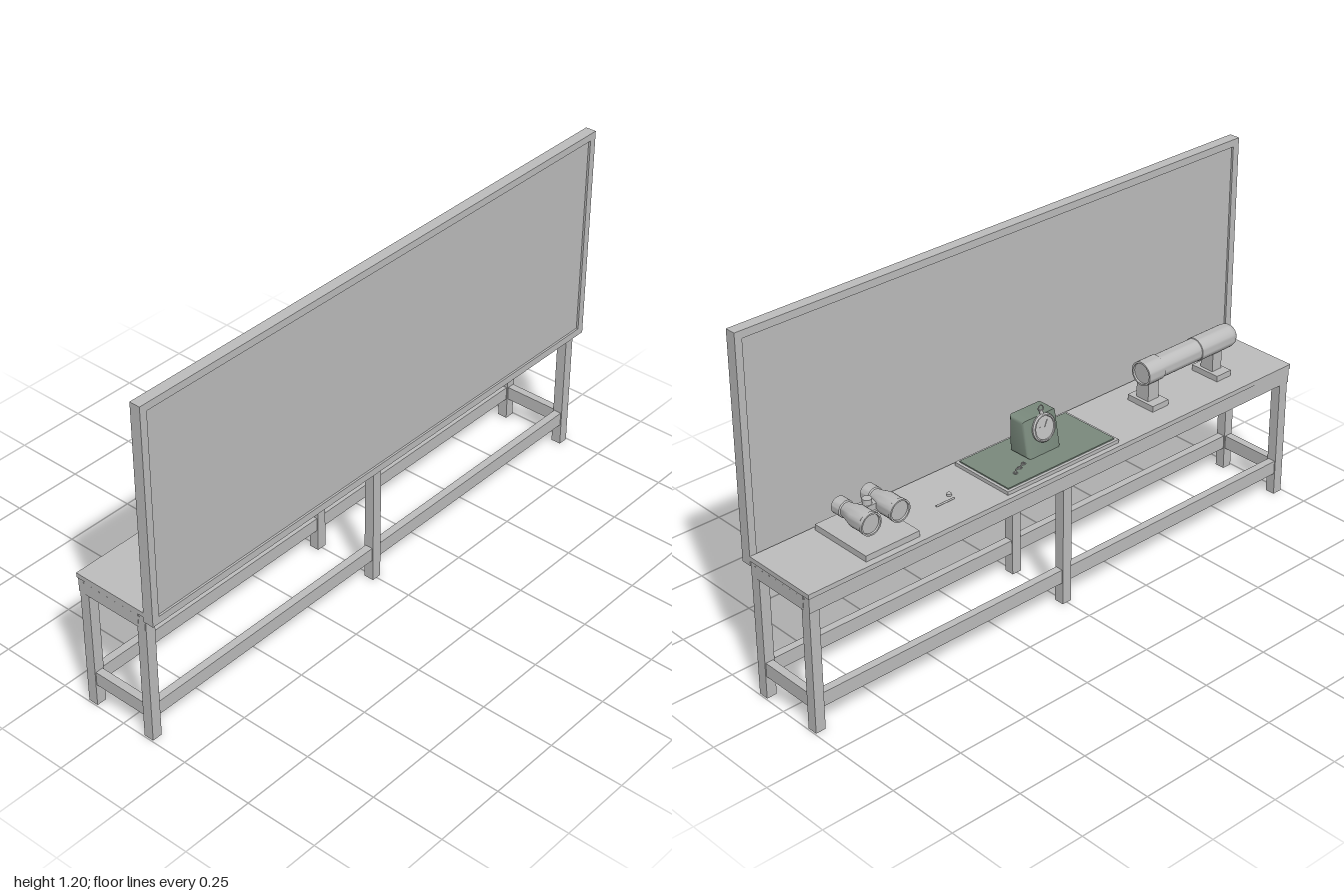
import * as THREE from 'three';
import { toCreasedNormals } from 'three/addons/utils/BufferGeometryUtils.js';

export function createModel() {
  const model = new THREE.Group();
  model.name = 'displayTable';
  const grey = new THREE.MeshStandardMaterial({ color: 0xbdbdbd });
  grey.name = 'light grey';
  const green = new THREE.MeshStandardMaterial({ color: 0x7a8a7d });
  green.name = 'grey green';

  const group = (name, parent = model) => {
    const g = new THREE.Group();
    g.name = name;
    parent.add(g);
    return g;
  };
  const mesh = (name, geo, parent, mat = grey) => {
    const m = new THREE.Mesh(geo, mat);
    m.name = name;
    parent.add(m);
    return m;
  };
  // Box given by its minimum and maximum along each axis
  const box = (name, [x0, x1], [y0, y1], [z0, z1], parent, mat) => {
    const m = mesh(name, new THREE.BoxGeometry(x1 - x0, y1 - y0, z1 - z0), parent, mat);
    m.position.set((x0 + x1) / 2, (y0 + y1) / 2, (z0 + z1) / 2);
    return m;
  };
  // Turned part from [radius, height] pairs, with crisp shoulders
  const turned = (name, pts, parent, mat) => mesh(name, toCreasedNormals(
    new THREE.LatheGeometry(pts.map(([r, h]) => new THREE.Vector2(r, h)), 32), 0.6), parent, mat);

  // Table top, apron, legs and stretchers
  const table = group('table');
  const top = 0.483;
  box('tableTop', [-0.155, 0.115], [0.467, top], [-1, 1], table);
  for (const [x0, x1] of [[-0.152, -0.125], [0.09, 0.116]])
    box('longApron', [x0, x1], [0.417, 0.467], [-0.997, 0.997], table);
  for (const s of [-1, 1]) {
    const zs = s > 0 ? [0.97, 0.998] : [-0.998, -0.97];
    box('endApron', [-0.125, 0.09], [0.417, 0.467], zs, table);
    box('endStretcher', [-0.114, 0.083], [0.077, 0.125], s > 0 ? [0.965, 0.992] : [-0.992, -0.965], table);
    // Row of nail heads on each end
    for (let i = 0; i < 8; i++) {
      const nail = mesh('nail', new THREE.CylinderGeometry(0.002, 0.002, 0.002, 8), table);
      nail.rotation.x = Math.PI / 2;
      nail.position.set(-0.13 + i * 0.032, 0.458, s * 0.998);
    }
  }
  for (const [x0, x1] of [[-0.149, -0.114], [0.083, 0.118]]) {
    for (const z of [-0.978, 0, 0.978])
      box('leg', [x0, x1], [0, 0.45], [z - 0.0175, z + 0.0175], table);
    box('longStretcher', [x0 + 0.004, x1 - 0.004], [0.077, 0.125], [-0.965, 0.965], table);
  }

  // Upright board: a frame around a recessed panel
  const board = group('board');
  const f = 0.025, bx = [0.115, 0.152];
  box('boardPanel', [0.122, 0.145], [0.46, 1.19], [-0.99, 0.99], board);
  box('frameTop', bx, [1.2 - f, 1.2], [-1, 1], board);
  box('frameBottom', bx, [0.45, 0.45 + f], [-1, 1], board);
  for (const zs of [[-1, -1 + f], [1 - f, 1]])
    box('frameSide', bx, [0.45 + f, 1.2 - f], zs, board);

  // Telescope on two pedestals
  const scope = group('telescope');
  for (const [z0, z1] of [[0.44, 0.51], [0.735, 0.8]]) {
    box('pedestalBase', [-0.075, 0.037], [top, 0.503], [z0, z1], scope);
    box('pedestalPost', [-0.042, 0.01], [0.503, 0.58], [z0 + 0.012, z1 - 0.012], scope);
  }
  const tube = turned('telescopeTube', [[0, 0.006], [0.034, 0.006], [0.035, 0], [0.041, 0], [0.041, 0.07],
    [0.038, 0.072], [0.038, 0.24], [0.04, 0.242], [0.04, 0.385], [0.037, 0.4], [0.031, 0.408], [0, 0.408]], scope);
  tube.rotation.x = Math.PI / 2;
  tube.position.set(-0.018, 0.598, 0.441);

  // Binoculars on a plinth
  const bino = group('binoculars');
  box('binocularBase', [-0.133, 0.1], [top, 0.503], [-0.775, -0.575], bino);
  box('binocularPost', [-0.042, 0.002], [0.503, 0.565], [-0.693, -0.653], bino);
  box('binocularBridge', [-0.035, 0.0], [0.56, 0.585], [-0.715, -0.632], bino);
  const hinge = mesh('hinge', new THREE.CylinderGeometry(0.015, 0.015, 0.055, 20), bino);
  hinge.position.set(-0.018, 0.575, -0.673);
  for (const z of [-0.727, -0.62]) {
    const barrel = turned('barrel', [[0, 0.006], [0.031, 0.006], [0.032, 0], [0.037, 0], [0.037, 0.012],
      [0.035, 0.014], [0.036, 0.062], [0.026, 0.1], [0.024, 0.112], [0.028, 0.115], [0.028, 0.15], [0, 0.15]], bino);
    barrel.rotation.z = -Math.PI / 2;
    barrel.position.set(-0.104, 0.575, z);
  }

  // Green mat on a tray
  const mat = group('mat');
  box('tray', [-0.138, 0.102], [top, 0.495], [-0.235, 0.227], mat);
  box('matSurface', [-0.128, 0.092], [0.495, 0.499], [-0.225, 0.217], mat, green);

  // Rounded stand with a sloping face
  const watch = group('watchDisplay');
  const b = 0.012;
  const shape = new THREE.Shape([[-0.038, 0.511], [0.024, 0.511], [0.026, 0.612], [-0.018, 0.612]]
    .map(([x, y]) => new THREE.Vector2(x, y)));
  const stand = mesh('watchStand', toCreasedNormals(new THREE.ExtrudeGeometry(shape, {
    depth: 0.136 - 2 * b, bevelSize: b, bevelThickness: b, bevelSegments: 4 }), 0.6), watch, green);
  stand.position.z = -0.072 + b;

  // Pocket watch leaning on the stand, its face towards -x
  const dial = group('pocketWatch', watch);
  dial.position.set(-0.037, 0.582, 0.003);
  dial.rotation.z = -0.2;
  const body = turned('watchCase', [[0, -0.008], [0.04, -0.008], [0.046, -0.002], [0.046, 0.004],
    [0.042, 0.009], [0.038, 0.009], [0.037, 0.005], [0, 0.005]], dial);
  body.rotation.z = Math.PI / 2;
  const crown = mesh('crown', new THREE.CylinderGeometry(0.006, 0.006, 0.014, 16), dial);
  crown.position.y = 0.051;
  const bow = mesh('bow', new THREE.TorusGeometry(0.01, 0.002, 8, 20), dial);
  bow.rotation.y = Math.PI / 2;
  bow.position.y = 0.062;
  for (const [len, angle] of [[0.028, 0.6], [0.02, -1.2]]) {
    const hand = mesh('watchHand', new THREE.BoxGeometry(0.002, len, 0.003).translate(0, len / 2, 0), dial);
    hand.position.x = -0.006;
    hand.rotation.x = angle;
  }

  // Loose chain lying on the mat
  const path = [[-0.078, -0.15], [-0.07, -0.143], [-0.064, -0.132], [-0.064, -0.12], [-0.058, -0.108], [-0.053, -0.095]];
  const chain = new THREE.CatmullRomCurve3(path.map(([x, z]) => new THREE.Vector3(x, 0.501, z)));
  mesh('chain', new THREE.TubeGeometry(chain, 30, 0.002, 6), watch);
  for (const i of [0, 3, 5]) {
    const link = mesh('chainLink', new THREE.TorusGeometry(0.006, 0.0018, 6, 16), watch);
    link.rotation.x = Math.PI / 2;
    link.position.set(path[i][0], 0.501, path[i][1]);
  }

  // Thin rod and small stud on the table
  const small = group('smallItems');
  const rod = mesh('rod', new THREE.CylinderGeometry(0.003, 0.003, 0.07, 10), small);
  rod.rotation.x = Math.PI / 2;
  rod.position.set(-0.043, 0.486, -0.4);
  const stud = mesh('stud', new THREE.CylinderGeometry(0.008, 0.008, 0.008, 16), small);
  stud.position.set(-0.018, 0.487, -0.363);

  return model;
}
